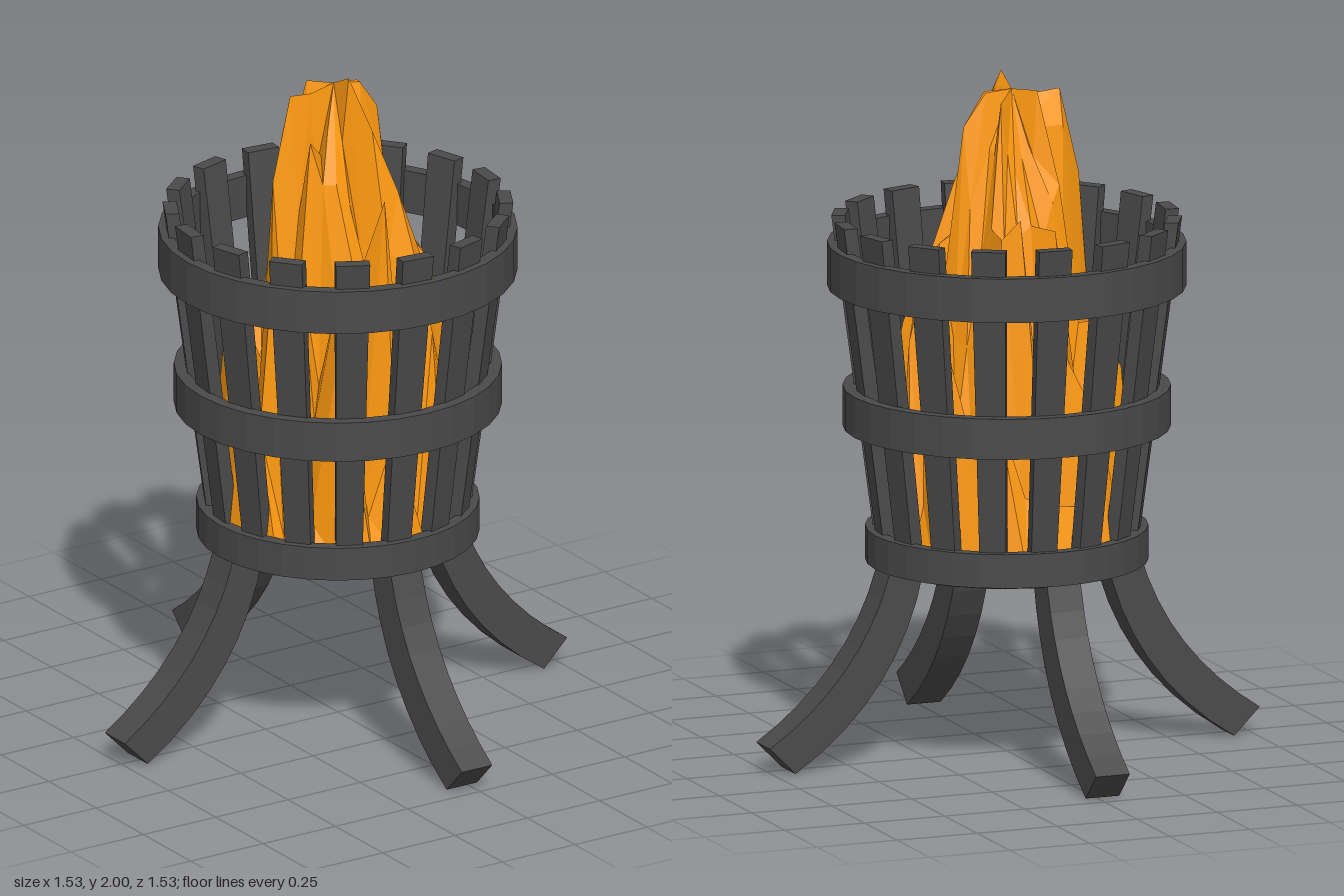
import * as THREE from 'three';

const iron = new THREE.MeshStandardMaterial({ color: 0x4a4a4a, flatShading: true });
const flame = new THREE.MeshStandardMaterial({ color: 0xff9a10, flatShading: true, side: THREE.DoubleSide });

function add(parent, name, geometry, material) {
  const mesh = new THREE.Mesh(geometry, material);
  mesh.name = name;
  parent.add(mesh);
  return mesh;
}

// Hoop with a rectangular section
function hoop(outer, y0, y1, thickness = 0.038) {
  const inner = outer - thickness;
  const section = [[outer, y0], [outer, y1], [inner, y1], [inner, y0], [outer, y0]];
  return new THREE.LatheGeometry(section.map(([r, y]) => new THREE.Vector2(r, y)), 32);
}

// Slat that widens and leans outward towards the top
function staveGeometry() {
  const y0 = 0.56, y1 = 1.585;
  const geo = new THREE.BoxGeometry(1, y1 - y0, 0.04);
  const p = geo.attributes.position;
  for (let i = 0; i < p.count; i++) {
    const top = p.getY(i) > 0;
    p.setX(i, p.getX(i) * (top ? 0.1 : 0.075));
    p.setZ(i, p.getZ(i) + (top ? 0.485 : 0.352));
    p.setY(i, top ? y1 : y0);
  }
  geo.computeVertexNormals();
  return geo;
}

// Curved leg: side outline in (outward, up), given a width
function legGeometry() {
  const s = new THREE.Shape();
  s.moveTo(0.285, 0.57);
  s.bezierCurveTo(0.33, 0.34, 0.46, 0.14, 0.685, 0);
  s.lineTo(0.765, 0.08);
  s.bezierCurveTo(0.58, 0.2, 0.45, 0.36, 0.39, 0.57);
  s.closePath();
  const geo = new THREE.ExtrudeGeometry(s, { depth: 0.105, bevelEnabled: false, curveSegments: 8 });
  return geo.translate(0, 0, -0.0525);
}

// Jagged fire: polar grid whose rings rise to random heights
function fireGeometry() {
  let seed = 7;
  const rand = () => (seed = (seed * 16807) % 2147483647) / 2147483647;
  const n = 24, pos = [], index = [];
  // radius, lowest and highest point of each ring
  const rings = [
    [0, 1.96, 1.96], [0.08, 1.68, 1.98], [0.15, 1.35, 1.9], [0.21, 1.0, 1.7],
    [0.27, 0.72, 1.5], [0.32, 0.64, 1.3], [0.365, 0.6, 0.6], [0, 0.6, 0.6],
  ];
  const peaks = { '1,0': 2, '4,0': 1.68, '2,18': 1.95 };
  rings.forEach(([r, lo, hi], k) => {
    for (let i = 0; i < n; i++) {
      const a = (i / n) * Math.PI * 2;
      const y = peaks[`${k},${i}`] ?? lo + (hi - lo) * rand();
      pos.push(r * Math.sin(a), y, r * Math.cos(a));
      if (k === 0) continue;
      const j = (i + 1) % n;
      const u = (k - 1) * n, v = k * n;
      index.push(u + i, v + i, v + j);
      if (k > 1) index.push(u + i, v + j, u + j);
    }
  });
  const geo = new THREE.BufferGeometry();
  geo.setAttribute('position', new THREE.Float32BufferAttribute(pos, 3));
  geo.setIndex(index);
  geo.computeVertexNormals();
  return geo;
}

export function createModel() {
  const model = new THREE.Group();
  model.name = 'fireBasket';

  // Basket floor
  add(model, 'basketFloor', new THREE.CylinderGeometry(0.375, 0.37, 0.04, 32), iron).position.y = 0.58;

  // Upright staves
  const staves = new THREE.Group();
  staves.name = 'staves';
  const stave = staveGeometry();
  for (let i = 0; i < 16; i++) {
    add(staves, 'stave', stave, iron).rotation.y = -0.1 + (i / 16) * Math.PI * 2;
  }
  model.add(staves);

  // Three hoops around the staves
  add(model, 'lowerHoop', hoop(0.41, 0.57, 0.67), iron);
  add(model, 'middleHoop', hoop(0.475, 0.965, 1.085), iron);
  add(model, 'upperHoop', hoop(0.52, 1.38, 1.51), iron);

  // Four splayed legs
  const leg = legGeometry();
  ['leftLeg', 'backLeg', 'rightLeg', 'frontLeg'].forEach((name, i) => {
    const mesh = add(model, name, leg, iron);
    mesh.rotation.y = (i * Math.PI) / 2;
    mesh.position.set(i % 2 ? -0.02 : 0, 0, i % 2 ? 0 : -0.01);
  });

  // Flames
  add(model, 'fire', fireGeometry(), flame).position.x = -0.015;
  return model;
}
